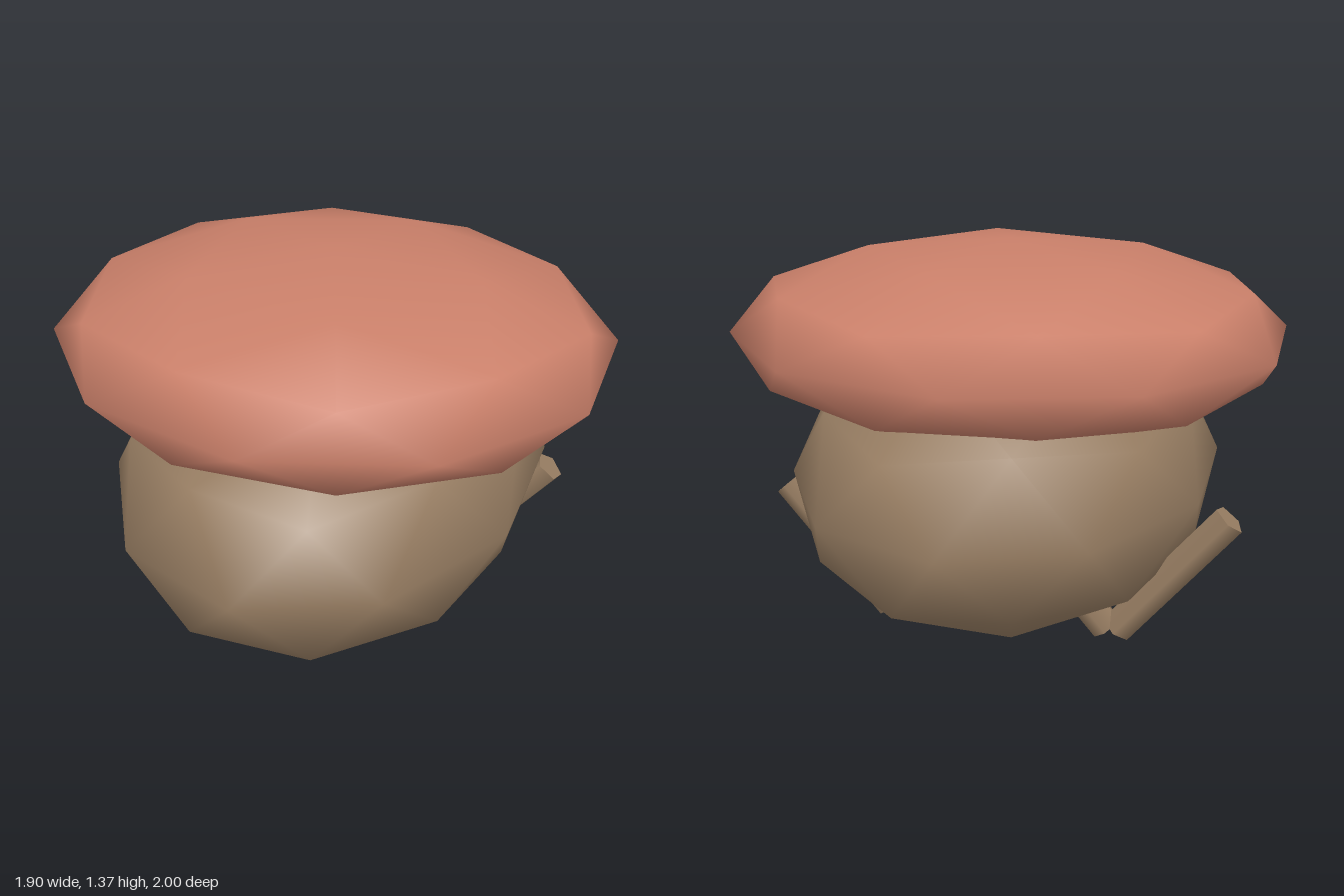
import * as THREE from 'three';
import { mergeVertices } from 'three/addons/utils/BufferGeometryUtils.js';

const shellRed = new THREE.MeshStandardMaterial({ color: 0xc97f69 });
const bodyBrown = new THREE.MeshStandardMaterial({ color: 0x977d62 });
shellRed.name = 'shellRed';
bodyBrown.name = 'bodyBrown';

// Smooth low-poly ellipsoid: a once-divided icosahedron standing on a vertex
function ellipsoid(name, rx, ry, rz, y, material) {
  const ico = new THREE.IcosahedronGeometry(1, 1);
  ico.deleteAttribute('uv');
  ico.deleteAttribute('normal');
  const geo = mergeVertices(ico, 1e-4);
  geo.rotateZ(-Math.atan2(1, (1 + Math.sqrt(5)) / 2));
  geo.scale(rx, ry, rz);
  geo.computeVertexNormals();
  const mesh = new THREE.Mesh(geo, material);
  mesh.name = name;
  mesh.position.y = y;
  return mesh;
}

// Five-sided rod between two points in a plane of constant z
function rod(name, x0, y0, x1, y1, z) {
  const dx = x1 - x0, dy = y1 - y0;
  const geo = new THREE.CylinderGeometry(0.06, 0.06, Math.hypot(dx, dy), 5, 1, false, Math.PI);
  const mesh = new THREE.Mesh(geo, bodyBrown);
  mesh.name = name;
  mesh.position.set((x0 + x1) / 2, (y0 + y1) / 2, z);
  mesh.rotation.z = Math.atan2(-dx, dy);
  return mesh;
}

export function createModel() {
  const model = new THREE.Group();
  model.name = 'model';
  model.add(ellipsoid('body', 0.76, 0.55, 1, 0.55, bodyBrown));
  model.add(ellipsoid('shell', 1, 0.325, 0.91, 1.04, shellRed));

  // Legs: an outer rod, and an inner rod that runs up into the body
  const centre = -0.036;
  for (const [side, s] of [['left', 1], ['right', -1]]) {
    const leg = new THREE.Group();
    leg.name = side + 'Leg';
    leg.add(rod('outerRod', centre + s * 0.411, 0.05, centre + s * 0.789, 0.493, -0.27));
    leg.add(rod('innerRod', centre + s * 0.383, 0.05, centre + s * 0.005, 0.493, -0.27));
    model.add(leg);
  }
  return model;
}
